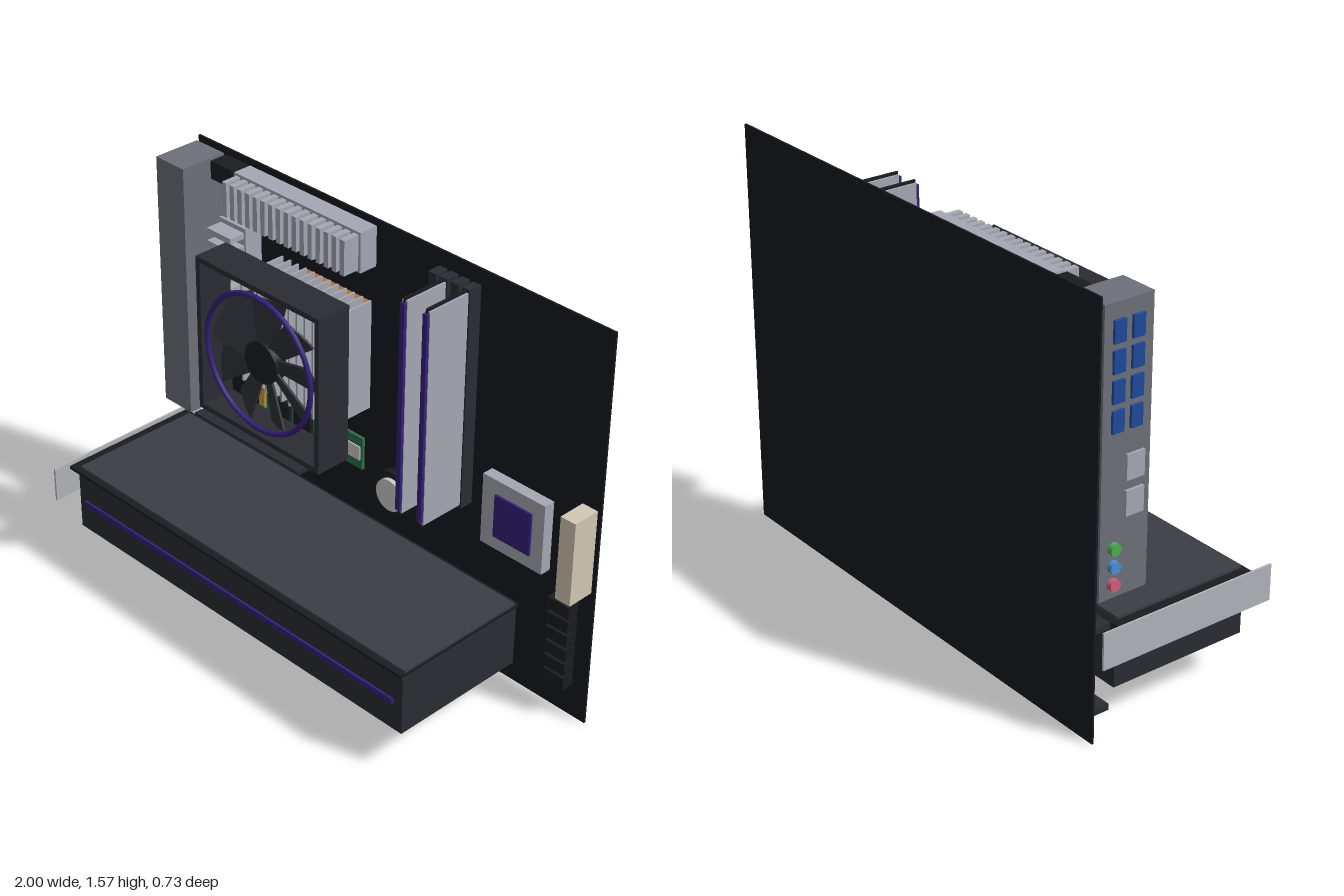
import * as THREE from 'three';

const mat = (color) => new THREE.MeshStandardMaterial({ color, flatShading: false });
const M = {
  board: mat(0x17191f), black: mat(0x1b1c20), dark: mat(0x2a2c32), plate: mat(0x3a3d44),
  grey: mat(0x6d7079), silver: mat(0xa4a8b2), bright: mat(0xc4c6c8), purple: mat(0x35207a),
  green: mat(0x2c6e4c), gold: mat(0xc09a3c), copper: mat(0xb8702f), beige: mat(0xd2c8b4),
  blue: mat(0x1f4a9c), steel: mat(0xb0b3b8), blade: mat(0x2d3037), gpuBlade: mat(0x1e2025),
  lime: mat(0x4caf50), sky: mat(0x4a8fd0), pink: mat(0xd0607c),
};
const BOARD_Z = -0.357;

export function createModel() {
  const root = new THREE.Group();
  root.name = 'computerMainboard';

  const add = (name, geo, material, parent = root) => {
    const mesh = new THREE.Mesh(geo, material);
    mesh.name = name;
    parent.add(mesh);
    return mesh;
  };
  // Box given by its limits on each axis
  const box = (name, material, x0, x1, y0, y1, z0, z1, parent = root) => {
    const m = add(name, new THREE.BoxGeometry(x1 - x0, y1 - y0, z1 - z0), material, parent);
    m.position.set((x0 + x1) / 2, (y0 + y1) / 2, (z0 + z1) / 2);
    return m;
  };
  // Disc facing +z
  const disc = (name, material, r, x, y, z0, z1, parent = root) => {
    const geo = new THREE.CylinderGeometry(r, r, z1 - z0, 32).rotateX(Math.PI / 2);
    const m = add(name, geo, material, parent);
    m.position.set(x, y, (z0 + z1) / 2);
    return m;
  };
  const group = (name) => {
    const g = new THREE.Group();
    g.name = name;
    root.add(g);
    return g;
  };

  // Rotor with pitched, widening blades, facing +z
  const rotor = (name, radius, hubR, depth, count, bladeMat, pitch) => {
    const g = group(name);
    disc('fanHub', M.black, hubR, 0, 0, -depth / 2, depth / 2, g);
    const wi = hubR * 0.42, wo = radius * 0.26;
    const shape = new THREE.Shape();
    shape.moveTo(-wi, hubR * 0.8);
    shape.lineTo(-wo, radius * 0.97);
    shape.quadraticCurveTo(0, radius * 1.04, wo, radius * 0.97);
    shape.lineTo(wi, hubR * 0.8);
    const geo = new THREE.ExtrudeGeometry(shape, { depth: 0.008, bevelEnabled: false, curveSegments: 6 });
    geo.translate(0, 0, -0.004).rotateY(pitch);
    for (let i = 0; i < count; i++) {
      add('fanBlade', geo, bladeMat, g).rotation.z = (i / count) * Math.PI * 2 - 0.09;
    }
    return g;
  };

  // Circuit board
  box('circuitBoard', M.board, -0.96, 1, 0, 1.57, -0.365, BOARD_Z);

  // Rear port tower with its sockets on the -x face
  const io = group('portTower');
  box('portHousing', M.grey, -0.97, -0.825, 0.53, 1.545, BOARD_Z, -0.163, io);
  for (const z of [-0.3, -0.226]) {
    for (let i = 0; i < 4; i++) {
      const y = 1.45 - i * 0.1;
      box('usbPort', M.blue, -0.98, -0.96, y - 0.038, y + 0.038, z - 0.023, z + 0.023, io);
    }
  }
  for (const y of [0.98, 0.855]) {
    box('networkPort', M.silver, -0.98, -0.96, y - 0.045, y + 0.045, -0.262, -0.19, io);
  }
  [M.lime, M.sky, M.pink].forEach((m, i) => {
    const jack = add('audioJack', new THREE.CylinderGeometry(0.021, 0.021, 0.03, 20).rotateZ(Math.PI / 2), m, io);
    jack.position.set(-0.975, 0.71 - i * 0.064, -0.305);
  });

  // Finned heatsinks beside the processor
  const topSink = group('topHeatsink');
  box('heatsinkBase', M.silver, -0.685, -0.05, 1.39, 1.545, BOARD_Z, -0.28, topSink);
  for (let i = 0; i < 16; i++) {
    const x = -0.664 + i * 0.0395;
    box('heatsinkFin', M.silver, x - 0.011, x + 0.011, 1.4, 1.535, -0.28, -0.213, topSink);
  }
  const sideSink = group('sideHeatsink');
  box('heatsinkBase', M.silver, -0.77, -0.63, 0.877, 1.337, BOARD_Z, -0.28, sideSink);
  for (let i = 0; i < 9; i++) {
    const y = 0.905 + i * 0.0505;
    box('heatsinkFin', M.silver, -0.762, -0.638, y - 0.011, y + 0.011, -0.28, -0.213, sideSink);
  }
  box('processorPowerSocket', M.black, -0.81, -0.7, 1.475, 1.545, BOARD_Z, -0.28);

  // Processor cooler: copper base, fin stack, square frame and fan
  const cooler = group('processorCooler');
  const cx = -0.237, cy = 1.076;
  box('copperBase', M.copper, cx - 0.165, cx + 0.165, cy - 0.168, cy + 0.168, BOARD_Z, -0.3, cooler);
  for (let i = 0; i < 12; i++) {
    const x = cx - 0.22 + i * 0.04;
    box('coolerFin', M.silver, x - 0.004, x + 0.004, cy - 0.216, cy + 0.216, -0.3, -0.1, cooler);
  }
  const h = 0.307, t = 0.02;
  for (const s of [-1, 1]) {
    const a = cx + s * (h - t / 2), b = cy + s * (h - t / 2);
    box('fanFrameSide', M.dark, a - t / 2, a + t / 2, cy - h, cy + h, -0.11, 0.032, cooler);
    box('fanFrameBar', M.dark, cx - h + t, cx + h - t, b - t / 2, b + t / 2, -0.11, 0.032, cooler);
  }
  add('lightRing', new THREE.TorusGeometry(0.262, 0.01, 10, 64), M.purple, cooler).position.set(cx, cy, 0.026);
  const fan = rotor('coolerFan', 0.25, 0.08, 0.05, 9, M.blade, 0.4);
  fan.position.set(cx, cy, -0.01);
  cooler.add(fan);

  // Memory slots, with sticks in the second and fourth
  const memory = group('memory');
  [0.263, 0.313, 0.364, 0.415].forEach((x, i) => {
    box('memorySlot', M.dark, x - 0.018, x + 0.018, 0.65, 1.51, BOARD_Z, -0.303, memory);
    if (i % 2 === 0) return;
    box('memoryBoard', M.black, x - 0.004, x + 0.004, 0.652, 1.508, -0.303, -0.12, memory);
    for (const s of [-1, 1]) {
      const c = x + s * 0.008;
      box('heatSpreader', M.silver, c - 0.004, c + 0.004, 0.662, 1.498, -0.303, -0.122, memory);
    }
    box('memoryLightBar', M.purple, x - 0.01, x + 0.01, 0.675, 1.49, -0.122, -0.11, memory);
  });

  // Chipset cover, main power socket and drive sockets
  box('chipsetHeatsink', M.silver, 0.52, 0.8, 0.555, 0.835, BOARD_Z, -0.312);
  box('chipsetPlate', M.purple, 0.583, 0.748, 0.61, 0.78, -0.312, -0.303);
  box('mainPowerSocket', M.beige, 0.92, 0.985, 0.555, 0.888, BOARD_Z, -0.247);
  for (let i = 0; i < 6; i++) {
    const y = 0.465 - i * 0.061;
    box('driveSocket', M.black, 0.84, 0.935, y - 0.024, y + 0.024, BOARD_Z, -0.307);
  }

  // Coin battery
  disc('batteryHolder', M.black, 0.088, 0.083, 0.53, BOARD_Z, -0.322);
  disc('coinBattery', M.bright, 0.064, 0.083, 0.53, -0.322, -0.305);

  // Flat storage card
  const card = group('storageCard');
  box('cardSocket', M.gold, -0.62, -0.59, 0.555, 0.67, BOARD_Z, -0.325, card);
  box('cardBoard', M.green, -0.592, -0.082, 0.547, 0.68, -0.347, -0.335, card);
  for (let i = 0; i < 3; i++) {
    const x = -0.5 + i * 0.115;
    box('memoryChip', M.black, x - 0.045, x + 0.045, 0.57, 0.66, -0.335, -0.322, card);
  }
  box('cardLabel', M.bright, -0.222, -0.092, 0.585, 0.642, -0.335, -0.33, card);

  // Expansion slots
  for (const y of [0.41, 0.105]) {
    box('expansionSlot', M.dark, -0.945, -0.375, y - 0.012, y + 0.012, BOARD_Z, -0.285);
  }

  // Graphics card with two fans on its underside
  const gpu = group('graphicsCard');
  box('shroud', M.dark, -0.945, 0.74, 0.17, 0.402, -0.265, 0.29, gpu);
  box('graphicsBoard', M.black, -0.99, 0.74, 0.407, 0.419, -0.28, 0.298, gpu);
  box('spacer', M.black, -0.9, 0.7, 0.4, 0.424, -0.23, 0.25, gpu);
  box('backplate', M.plate, -0.945, 0.74, 0.422, 0.432, -0.258, 0.28, gpu);
  box('lightStrip', M.purple, -0.91, 0.7, 0.278, 0.3, 0.285, 0.299, gpu);
  box('mountingBracket', M.steel, -1, -0.992, 0.295, 0.432, BOARD_Z, 0.365, gpu);
  for (const x of [-0.335, 0.245]) {
    const well = add('fanWell', new THREE.CylinderGeometry(0.245, 0.245, 0.006, 48), M.black, gpu);
    well.position.set(x, 0.169, 0.01);
    const f = rotor('graphicsFan', 0.235, 0.07, 0.035, 9, M.gpuBlade, 0.3);
    f.rotation.x = Math.PI / 2;
    f.position.set(x, 0.153, 0.01);
    gpu.add(f);
  }
  return root;
}
